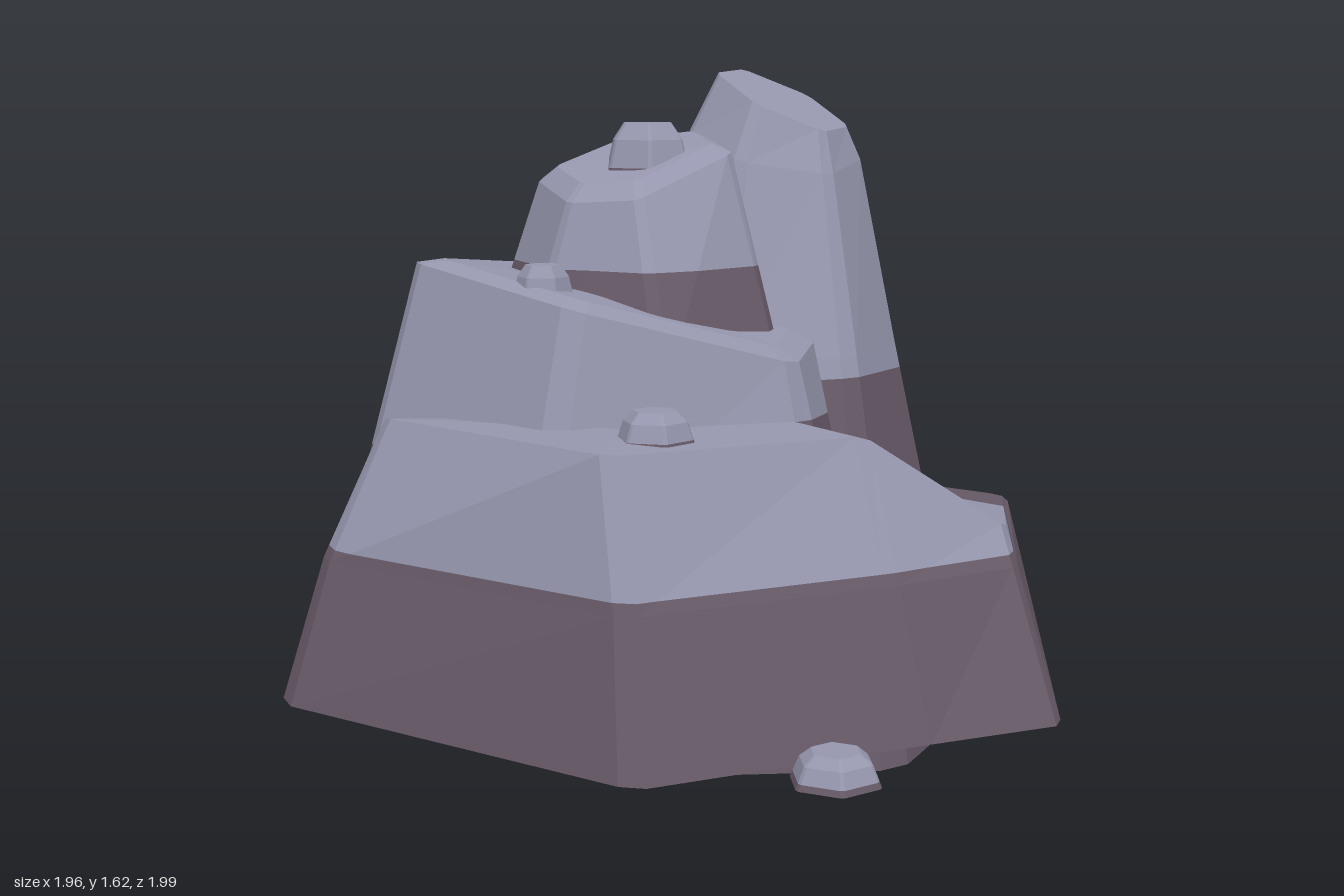
import * as THREE from 'three';

const stone = new THREE.MeshStandardMaterial({ color: 0x9697ae, flatShading: true, side: THREE.DoubleSide });
stone.name = 'greyStone';
const earth = new THREE.MeshStandardMaterial({ color: 0x685a68, flatShading: true, side: THREE.DoubleSide });
earth.name = 'brownStone';

const lerp = (a, b, t) => a.map((v, i) => v + (b[i] - v) * t);
const centre = (ring) => [0, 1, 2].map((k) => ring.reduce((s, p) => s + p[k], 0) / ring.length);

// Ring from [x, z] pairs at one height
const level = (y, pts) => pts.map(([x, z]) => [x, y, z]);

// Regular hexagon ring whose height may tilt
function hexRing(cx, cz, r, y, tiltX = 0, tiltZ = 0, turn = 0) {
  return Array.from({ length: 6 }, (_, i) => {
    const a = (i * Math.PI) / 3 + turn;
    const dx = r * Math.sin(a), dz = r * Math.cos(a);
    return [cx + dx, y + tiltX * dx + tiltZ * dz, cz + dz];
  });
}

// Shrunken, slightly raised copy of a ring, for a bevelled rim
function inset(ring, k, dy) {
  const c = centre(ring);
  return ring.map((p) => { const q = lerp(c, p, k); q[1] += dy; return q; });
}

// Cut each corner into a narrow chamfer
const chamfer = (ring, t) => ring.flatMap((p, i) => {
  const n = ring.length;
  return [lerp(p, ring[(i + n - 1) % n], t), lerp(p, ring[(i + 1) % n], t)];
});

// Keep the part of a polygon where side(p) >= 0
function clip(poly, side) {
  const out = [];
  poly.forEach((p, i) => {
    const q = poly[(i + 1) % poly.length], a = side(p), b = side(q);
    if (a >= 0) out.push(p);
    if ((a > 0 && b < 0) || (a < 0 && b > 0)) out.push(lerp(p, q, a / (a - b)));
  });
  return out;
}

// Loft rings into a rock, grey above the split height and brown below it
function rock(name, rings, splitAt, { closed = false, bevel = 0.06 } = {}) {
  const loops = rings.map((r) => chamfer(r, bevel));
  const tris = [];
  const n = loops[0].length;
  for (let k = 0; k + 1 < loops.length; k++) {
    for (let i = 0; i < n; i++) {
      const j = (i + 1) % n, a = loops[k], b = loops[k + 1];
      tris.push([a[i], a[j], b[j]], [a[i], b[j], b[i]]);
    }
  }
  const top = loops[loops.length - 1], tc = centre(top);
  const low = loops[0], lc = centre(low);
  for (let i = 0; i < n; i++) {
    const j = (i + 1) % n;
    tris.push([top[i], top[j], tc]);
    if (closed) tris.push([low[j], low[i], lc]);
  }
  const above = (p) => p[1] - splitAt(p);
  const geo = new THREE.BufferGeometry();
  const pos = [];
  [above, (p) => -above(p)].forEach((side, m) => {
    const start = pos.length / 3;
    for (const t of tris) {
      const poly = clip(t, side);
      for (let i = 1; i + 1 < poly.length; i++) pos.push(...poly[0], ...poly[i], ...poly[i + 1]);
    }
    geo.addGroup(start, pos.length / 3 - start, m);
  });
  geo.setAttribute('position', new THREE.Float32BufferAttribute(pos, 3));
  geo.computeVertexNormals();
  const mesh = new THREE.Mesh(geo, [stone, earth]);
  mesh.name = name;
  return mesh;
}

export function createModel() {
  const group = new THREE.Group();
  group.name = 'rockFormation';

  // Wide base slab, high at the left and sloping down to the right
  group.add(rock('baseSlab', [
    level(0.22, [[-0.66, 0.72], [0, 0.835], [0.33, 0.9], [0.99, 0.12], [0.66, -0.82], [-0.33, -1.01], [-1, -0.22]]),
    [[-0.61, 0.62, 0.54], [0, 0.72, 0.54], [0.34, 0.74, 0.54], [0.9, 0.11, 0.52],
      [0.58, -0.73, 0.52], [-0.27, -0.89, 0.54], [-0.9, -0.2, 0.54]].map(([x, z, y]) => [x, y, z]),
    [[-0.58, 0.51, 0.85], [0.03, 0.58, 0.84], [0.35, 0.69, 0.62], [0.89, 0.1, 0.53],
      [0.57, -0.72, 0.54], [-0.25, -0.86, 0.62], [-0.74, -0.19, 0.85]].map(([x, z, y]) => [x, y, z]),
    [[-0.4, 0.32, 0.86], [0.0, 0.39, 0.85], [0.22, 0.38, 0.69], [0.5, 0.08, 0.58],
      [0.4, -0.45, 0.56], [-0.15, -0.6, 0.63], [-0.55, -0.12, 0.84]].map(([x, z, y]) => [x, y, z]),
  ], () => 0.565, { bevel: 0.04 }));

  // Middle tier with a tilted top
  const midTop = [[-0.47, 1.11, 0.19], [0.03, 0.97, 0.34], [0.36, 1.0, 0.02],
    [0.27, 1.1, -0.55], [-0.2, 1.13, -0.67], [-0.57, 1.18, -0.36]];
  group.add(rock('middleTier', [
    level(0.55, [[-0.62, 0.26], [0.05, 0.46], [0.62, 0.05], [0.53, -0.65], [-0.22, -0.84], [-0.76, -0.37]]),
    midTop,
    inset(midTop, 0.87, 0.02),
  ], (p) => 0.8 + 0.12 * p[2]));

  // Upper knob resting on the middle tier
  const knobTop = [[-0.2, 1.33, 0.04], [0.08, 1.43, 0.02], [0.16, 1.46, -0.2],
    [0.02, 1.43, -0.4], [-0.24, 1.36, -0.34], [-0.3, 1.32, -0.1]];
  group.add(rock('upperKnob', [
    level(0.95, [[-0.25, 0.22], [0.12, 0.17], [0.26, -0.18], [0.06, -0.53], [-0.34, -0.44], [-0.42, -0.11]]),
    knobTop,
    inset(knobTop, 0.8, 0.03),
  ], () => 1.17));

  // Tall pillar running down through the slab
  group.add(rock('tallPillar', [
    hexRing(0.27, -0.1, 0.54, 0),
    hexRing(0.27, -0.1, 0.42, 0.57),
    hexRing(0.29, -0.11, 0.325, 0.95),
    hexRing(0.325, -0.14, 0.22, 1.44, 0, -0.3),
    hexRing(0.34, -0.13, 0.165, 1.55, -0.2, -0.45),
  ], (p) => 0.885 + 0.08 * p[2], { bevel: 0.09 }));

  // Loose pebbles: x, z, bottom, top, radius
  [
    [-0.3, 0.905, 0.22, 0.285, 0.1],
    [-0.4, 0.41, 0.84, 0.915, 0.09],
    [-0.41, -0.03, 1.1, 1.19, 0.075],
    [-0.06, -0.13, 1.37, 1.5, 0.115],
    [0.56, -0.43, 0.54, 0.675, 0.1],
    [0.55, -0.59, 0.53, 0.585, 0.06],
  ].forEach(([x, z, y0, y1, r], i) => {
    const h = y1 - y0, turn = Math.PI / 6 + (i % 3) * 0.2;
    group.add(rock('pebble' + (i + 1), [
      hexRing(x, z, r, y0, 0, 0, turn),
      hexRing(x, z, r * 0.8, y0 + h * 0.7, 0, 0, turn),
      hexRing(x, z, r * 0.55, y1, 0, 0, turn),
    ], () => y0 + h * 0.2, { closed: true }));
  });

  return group;
}
